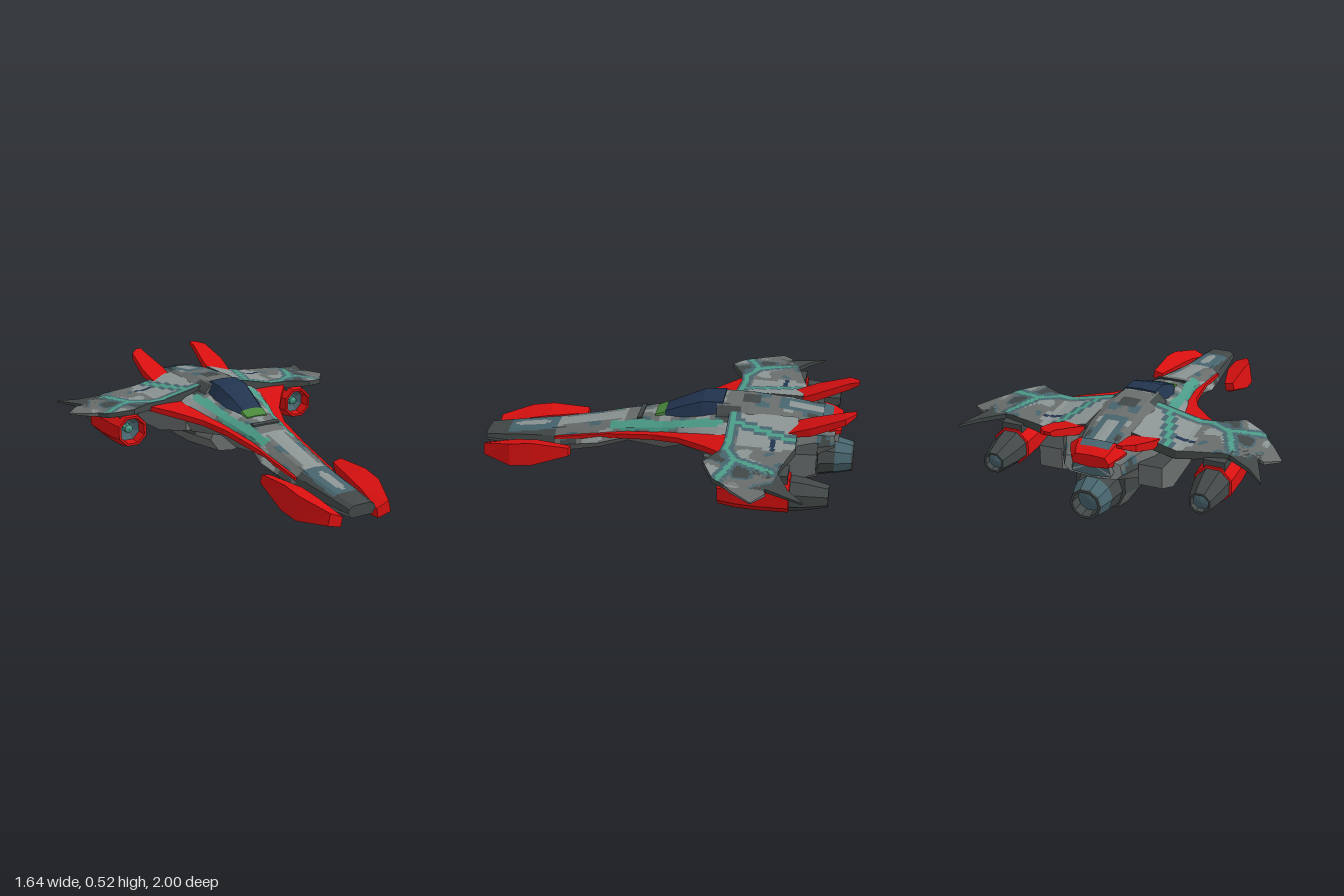
import * as THREE from 'three';

const paint = (name, hex) => {
  const m = new THREE.MeshStandardMaterial({ color: hex });
  m.name = name;
  return m;
};
const M = {
  red: paint('red', 0xd81010), grey: paint('hull grey', 0x696e6d), dark: paint('dark grey', 0x414847),
  light: paint('light grey', 0x8c9494), slate: paint('slate blue', 0x47646d), teal: paint('teal', 0x4b9c88),
  navy: paint('navy glass', 0x22344f), green: paint('green', 0x4a8a3c),
};

// Distance from a point to a polyline in the x-z plane, for painted lines
function lineDistance(x, z, line) {
  let best = 9;
  for (let i = 0; i < line.length - 1; i++) {
    const [ax, az] = line[i], dx = line[i + 1][0] - ax, dz = line[i + 1][1] - az;
    const t = Math.min(1, Math.max(0, ((x - ax) * dx + (z - az) * dz) / (dx * dx + dz * dz)));
    best = Math.min(best, Math.hypot(x - ax - t * dx, z - az - t * dz));
  }
  return best;
}

const wave = (x, z) => Math.sin(19 * x + 2 * Math.sin(14 * z)) + Math.sin(21 * z + 2 * Math.sin(23 * x));
const camo = (x, z) => {
  const n = wave(x, z);
  return n > 1.15 ? 'light' : n < -1.05 ? 'dark' : n < -0.5 ? 'slate' : 'grey';
};

// Loft rings of [u, v] along z (or along x), with a paint rule for each face
function loft(name, keys, { rows = 1, cols = 1, color = 'grey', axis = 'z', mirror = false } = {}) {
  const mix = (a, b, t) => a + (b - a) * t;
  const at = (s, p) => {
    const q = axis === 'x' ? [s, p[1], p[0]] : [p[0], p[1], s];
    return new THREE.Vector3(mirror ? -q[0] : q[0], q[1], q[2]);
  };
  const rings = [];
  keys.forEach(([s, ring], k) => {
    const next = keys[k + 1];
    for (let r = 0; r < (next ? rows : 1); r++) {
      const t = r / rows;
      const pts = ring.map((p, j) => (next ? [mix(p[0], next[1][j][0], t), mix(p[1], next[1][j][1], t)] : p));
      const fine = [];
      pts.forEach((p, j) => {
        const q = pts[(j + 1) % pts.length];
        for (let c = 0; c < cols; c++) fine.push([mix(p[0], q[0], c / cols), mix(p[1], q[1], c / cols)]);
      });
      const ss = next ? mix(s, next[0], t) : s;
      rings.push(fine.map((p) => at(ss, p)));
    }
  });
  const ring0 = keys[Math.floor(keys.length / 2)][1];
  let area = 0;
  ring0.forEach((p, j) => {
    const q = ring0[(j + 1) % ring0.length];
    area += p[0] * q[1] - q[0] * p[1];
  });
  let flip = area < 0;
  if (axis === 'x') flip = !flip;
  if (mirror) flip = !flip;
  if (keys[1][0] > keys[0][0]) flip = !flip;
  const buckets = {};
  const face = (...v) => {
    if (flip) v.reverse();
    const mid = v.reduce((s, p) => s.add(p), new THREE.Vector3()).divideScalar(v.length);
    const n = v[2].clone().sub(v[0]).cross((v[3] || v[1]).clone().sub(v[1])).normalize();
    if (v.length === 3) n.copy(v[1]).sub(v[0]).cross(v[2].clone().sub(v[0])).normalize();
    const key = typeof color === 'string' ? color : color(Math.abs(mid.x), mid.y, mid.z, n.y);
    const out = (buckets[key] ||= []);
    for (let i = 1; i < v.length - 1; i++) [v[0], v[i], v[i + 1]].forEach((p) => out.push(p.x, p.y, p.z));
  };
  for (let i = 0; i < rings.length - 1; i++) {
    const a = rings[i], b = rings[i + 1];
    a.forEach((p, j) => {
      const k = (j + 1) % a.length;
      face(p, b[j], b[k], a[k]);
    });
  }
  [rings[0], [...rings[rings.length - 1]].reverse()].forEach((ring) => {
    const centre = ring.reduce((s, p) => s.add(p), new THREE.Vector3()).divideScalar(ring.length);
    ring.forEach((p, j) => face(centre, p, ring[(j + 1) % ring.length]));
  });
  const geo = new THREE.BufferGeometry(), pos = [], mats = [];
  for (const [key, list] of Object.entries(buckets)) {
    geo.addGroup(pos.length / 3, list.length / 3, mats.length);
    mats.push(M[key]);
    for (const n of list) pos.push(n);
  }
  geo.setAttribute('position', new THREE.Float32BufferAttribute(pos, 3));
  geo.computeVertexNormals();
  const mesh = new THREE.Mesh(geo, mats);
  mesh.name = name;
  return mesh;
}

// Mirror a half profile (top centre to bottom centre) into a full ring
const sym = (keys) => keys.map(([z, half]) => [z, [...half, ...half.filter((p) => p[0] > 0).reverse().map(([x, y]) => [-x, y])]]);
const box = (s, u0, u1, v0, v1) => [s, [[u0, v1], [u1, v1], [u1, v0], [u0, v0]]];

// Faceted turned part lying along z; profile is [radius, z] from back to front
function turned(name, profile, sides, mat, x, y) {
  const geo = new THREE.LatheGeometry(profile.map(([r, z]) => new THREE.Vector2(r, z)), sides, Math.PI / sides)
    .rotateX(Math.PI / 2).toNonIndexed();
  geo.computeVertexNormals();
  const mesh = new THREE.Mesh(geo, mat);
  mesh.name = name;
  mesh.position.set(x, y, 0);
  return mesh;
}

export function createModel() {
  const g = new THREE.Group();
  const add = (...a) => g.add(loft(...a));

  // Fuselage with long neck
  const neckLine = [[0.09, 0.28], [0.11, 0.1], [0.14, -0.05], [0.17, -0.3]];
  add('fuselage', sym([
    [1.0, [[0, 0.16], [0.05, 0.16], [0.075, 0.145], [0.08, 0.125], [0.06, 0.1], [0, 0.1]]],
    [0.8, [[0, 0.195], [0.06, 0.19], [0.09, 0.17], [0.1, 0.13], [0.07, 0.09], [0, 0.085]]],
    [0.6, [[0, 0.225], [0.07, 0.22], [0.105, 0.19], [0.12, 0.14], [0.08, 0.08], [0, 0.08]]],
    [0.35, [[0, 0.28], [0.075, 0.275], [0.11, 0.25], [0.16, 0.2], [0.09, 0.14], [0, 0.135]]],
    [0.2, [[0, 0.315], [0.08, 0.31], [0.115, 0.285], [0.13, 0.235], [0.09, 0.195], [0, 0.19]]],
    [0.0, [[0, 0.36], [0.085, 0.355], [0.14, 0.32], [0.17, 0.27], [0.1, 0.175], [0, 0.17]]],
    [-0.1, [[0, 0.38], [0.12, 0.37], [0.17, 0.345], [0.2, 0.29], [0.13, 0.22], [0, 0.2]]],
    [-0.3, [[0, 0.42], [0.12, 0.415], [0.2, 0.385], [0.28, 0.33], [0.2, 0.2], [0, 0.18]]],
    [-0.5, [[0, 0.43], [0.14, 0.425], [0.24, 0.4], [0.31, 0.34], [0.24, 0.2], [0, 0.18]]],
    [-0.72, [[0, 0.42], [0.15, 0.41], [0.22, 0.39], [0.25, 0.32], [0.2, 0.22], [0, 0.2]]],
    [-0.9, [[0, 0.39], [0.09, 0.38], [0.14, 0.36], [0.15, 0.31], [0.12, 0.28], [0, 0.27]]],
  ]), {
    rows: 8, cols: 5, color: (x, y, z, ny) => {
      if (ny < -0.1) return 'grey';
      if (z > 0.87) return 'dark';
      if (lineDistance(x, z, neckLine) < 0.022) return 'teal';
      if (z > 0.22 && x < 0.045) return lineDistance(x, z, [[0, 0.82], [0, 0.66]]) < 0.02 || z < 0.6 ? 'light' : 'slate';
      if (z > 0.6) return x > 0.075 ? 'dark' : 'slate';
      if (z < -0.1 && z > -0.36 && x > 0.17) return 'light';
      return camo(x, z);
    },
  });
  add('neckSlot', [box(0.15, -0.08, 0.08, 0.325, 0.333), box(0.125, -0.08, 0.08, 0.331, 0.339)], { color: 'dark' });

  // Cockpit
  add('canopy', sym([
    [0.02, [[0, 0.368], [0.055, 0.365], [0.07, 0.345], [0, 0.34]]],
    [-0.1, [[0, 0.425], [0.065, 0.42], [0.105, 0.37], [0, 0.36]]],
    [-0.2, [[0, 0.465], [0.08, 0.46], [0.12, 0.38], [0, 0.37]]],
    [-0.31, [[0, 0.475], [0.08, 0.47], [0.115, 0.4], [0, 0.4]]],
  ]), { color: 'navy' });
  add('canopySill', sym([
    [0.055, [[0, 0.353], [0.06, 0.35], [0.068, 0.33], [0, 0.33]]],
    [0.0, [[0, 0.38], [0.065, 0.374], [0.075, 0.34], [0, 0.34]]],
  ]), { color: 'green' });

  // Dorsal spine behind the cockpit
  add('spine', sym([
    [-0.28, [[0, 0.465], [0.08, 0.463], [0.125, 0.42], [0.15, 0.38], [0, 0.36]]],
    [-0.45, [[0, 0.468], [0.08, 0.463], [0.13, 0.44], [0.17, 0.39], [0, 0.36]]],
    [-0.65, [[0, 0.455], [0.08, 0.45], [0.12, 0.43], [0.16, 0.38], [0, 0.36]]],
    [-0.85, [[0, 0.43], [0.075, 0.425], [0.1, 0.4], [0.13, 0.35], [0, 0.33]]],
    [-0.92, [[0, 0.4], [0.07, 0.395], [0.085, 0.37], [0.1, 0.3], [0, 0.29]]],
  ]), {
    rows: 8, cols: 5, color: (x, y, z) => {
      if (x < 0.045 && z > -0.5 && z < -0.41) return 'dark';
      if (x < 0.035 && z < -0.66 && z > -0.84) return 'light';
      if (x < 0.065 && z < -0.6) return 'slate';
      return x > 0.09 ? (z < -0.4 ? 'grey' : 'dark') : camo(x, z);
    },
  });
  add('tailArch', sym([
    [-0.83, [[0, 0.436], [0.095, 0.432], [0.145, 0.395], [0.14, 0.36], [0, 0.35]]],
    [-0.88, [[0, 0.425], [0.09, 0.42], [0.125, 0.385], [0.12, 0.35], [0, 0.34]]],
    [-0.93, [[0, 0.405], [0.075, 0.4], [0.095, 0.37], [0.09, 0.35], [0, 0.34]]],
  ]), { rows: 2, cols: 6, color: (x, y, z) => (z < -0.88 || x > 0.075 ? 'red' : 'slate') });

  // Belly, keel and main engine
  add('belly', sym([
    [-0.22, [[0, 0.23], [0.1, 0.23], [0.13, 0.16], [0.08, 0.09], [0, 0.08]]],
    [-0.5, [[0, 0.25], [0.16, 0.24], [0.17, 0.15], [0.11, 0.07], [0, 0.058]]],
    [-0.72, [[0, 0.27], [0.16, 0.25], [0.16, 0.15], [0.1, 0.06], [0, 0.048]]],
    [-0.82, [[0, 0.28], [0.13, 0.26], [0.13, 0.16], [0.09, 0.08], [0, 0.06]]],
  ]), { rows: 2, color: (x, y, z, ny) => (ny > -0.3 && z < -0.4 ? 'dark' : 'grey') });
  add('keel', [
    [-0.63, [[-0.1, 0.06], [0.1, 0.06], [0, 0.0]]],
    [-0.69, [[-0.1, 0.07], [0.1, 0.07], [0, 0.0]]],
    [-0.73, [[-0.08, 0.07], [0.08, 0.07], [0, 0.04]]],
  ]);
  g.add(turned('mainEngine', [[0.062, -0.93], [0.066, -1], [0.078, -1], [0.1, -0.9], [0.125, -0.78], [0.13, -0.7]], 10, M.dark, 0, 0.173));
  g.add(turned('mainEngineBand', [[0.081, -0.99], [0.102, -0.905]], 10, M.slate, 0, 0.173));
  g.add(turned('mainExhaust', [[0, -0.95], [0.066, -0.94]], 10, M.slate, 0, 0.173));

  const topY = (x) => (x < 0.35 ? 0.44 - (x - 0.12) * 0.23 : x < 0.56 ? 0.387 : 0.387 - (x - 0.56) * 0.18);
  const slab = (x, zf, zb, t) => box(x, zf, zb, topY(x) - t, topY(x));
  const lines = [
    [[0.14, -0.375], [0.42, -0.375], [0.52, -0.43], [0.68, -0.37]],
    [[0.52, -0.43], [0.6, -0.62]], [[0.2, -0.4], [0.3, -0.7]],
  ];
  const wingPaint = (x, y, z, ny) => {
    if (ny < 0.5) return ny < -0.5 ? 'grey' : 'dark';
    const d = Math.min(...lines.map((l) => lineDistance(x, z, l)));
    if (d < 0.014) return 'teal';
    if (x > 0.31 && x < 0.4 && Math.abs(z + 0.6) < 0.05) return Math.abs(z + 0.6) < 0.012 ? 'navy' : 'light';
    if (d < 0.035) return 'slate';
    return x < 0.38 && z < -0.42 ? 'light' : camo(x, z);
  };

  for (const mirror of [false, true]) {
    const s = mirror ? -1 : 1, side = mirror ? 'right' : 'left';
    // Wing with two swept tip blades
    add(side + 'Wing', [
      slab(0.12, -0.35, -0.71, 0.05), slab(0.35, -0.355, -0.715, 0.045), slab(0.44, -0.345, -0.69, 0.04),
      slab(0.56, -0.28, -0.66, 0.03), slab(0.68, -0.345, -0.63, 0.025), slab(0.73, -0.43, -0.6, 0.02),
    ], { axis: 'x', mirror, rows: 10, cols: 28, color: wingPaint });
    add(side + 'FrontTipBlade', [slab(0.66, -0.35, -0.56, 0.02), slab(0.75, -0.44, -0.61, 0.016), slab(0.82, -0.54, -0.55, 0.008)],
      { axis: 'x', mirror });
    add(side + 'RearTipBlade', [slab(0.59, -0.52, -0.65, 0.026), slab(0.71, -0.58, -0.71, 0.02), slab(0.79, -0.78, -0.79, 0.01)],
      { axis: 'x', mirror, color: 'dark' });

    // Red leading strake running down the neck
    add(side + 'Strake', [
      box(-0.37, 0.24, 0.45, 0.345, 0.37), box(-0.25, 0.2, 0.35, 0.318, 0.35), box(-0.1, 0.17, 0.24, 0.29, 0.32),
      box(0.05, 0.14, 0.178, 0.26, 0.29), box(0.3, 0.105, 0.138, 0.225, 0.25), box(0.6, 0.09, 0.118, 0.175, 0.19),
    ], { mirror, color: 'red' });

    // Nose blade
    add(side + 'NoseBlade', [
      [0.985, [[0.1, 0.11], [0.17, 0.14], [0.185, 0.08], [0.11, 0.06]]],
      [0.82, [[0.125, 0.155], [0.235, 0.185], [0.255, 0.065], [0.15, 0.03]]],
      [0.7, [[0.14, 0.175], [0.24, 0.205], [0.262, 0.08], [0.165, 0.038]]],
      [0.49, [[0.19, 0.185], [0.24, 0.197], [0.25, 0.155], [0.2, 0.14]]],
    ], { mirror, color: 'red' });

    // Tail fin
    add(side + 'TailFin', [
      box(-0.665, 0.125, 0.25, 0.385, 0.41), box(-0.78, 0.135, 0.262, 0.41, 0.455),
      box(-0.95, 0.165, 0.243, 0.478, 0.514), box(-1.0, 0.165, 0.195, 0.508, 0.525),
    ], { mirror, color: 'red' });

    // Shoulder block under the wing root
    add(side + 'Shoulder', [
      box(-0.3, 0.15, 0.24, 0.21, 0.3), box(-0.45, 0.17, 0.33, 0.19, 0.34), box(-0.7, 0.17, 0.33, 0.18, 0.34), box(-0.82, 0.2, 0.32, 0.23, 0.34),
    ], { mirror, color: (x, y, z, ny) => (ny > 0.4 ? 'dark' : 'grey') });

    // Nacelle under the wing
    const x = s * 0.535, y = 0.24;
    add(side + 'Pylon', [box(-0.4, 0.48, 0.59, 0.31, 0.375), box(-0.7, 0.48, 0.59, 0.31, 0.36)], { mirror, color: 'dark' });
    g.add(turned(side + 'NacelleShell', [[0.08, -0.715], [0.1, -0.71], [0.104, -0.55], [0.1, -0.44], [0.088, -0.36], [0.074, -0.36], [0.07, -0.42]], 8, M.red, x, y));
    g.add(turned(side + 'NacelleIntake', [[0.07, -0.42], [0.04, -0.44], [0, -0.45]], 8, M.slate, x, y));
    g.add(turned(side + 'NacelleHub', [[0.025, -0.46], [0.023, -0.41], [0, -0.4]], 8, M.teal, x, y));
    g.add(turned(side + 'NacelleTail', [[0.042, -0.86], [0.046, -0.9], [0.056, -0.9], [0.082, -0.78], [0.09, -0.7]], 8, M.dark, x, y));
    g.add(turned(side + 'NacelleExhaust', [[0, -0.88], [0.046, -0.87]], 8, M.slate, x, y));
  }
  return g;
}
